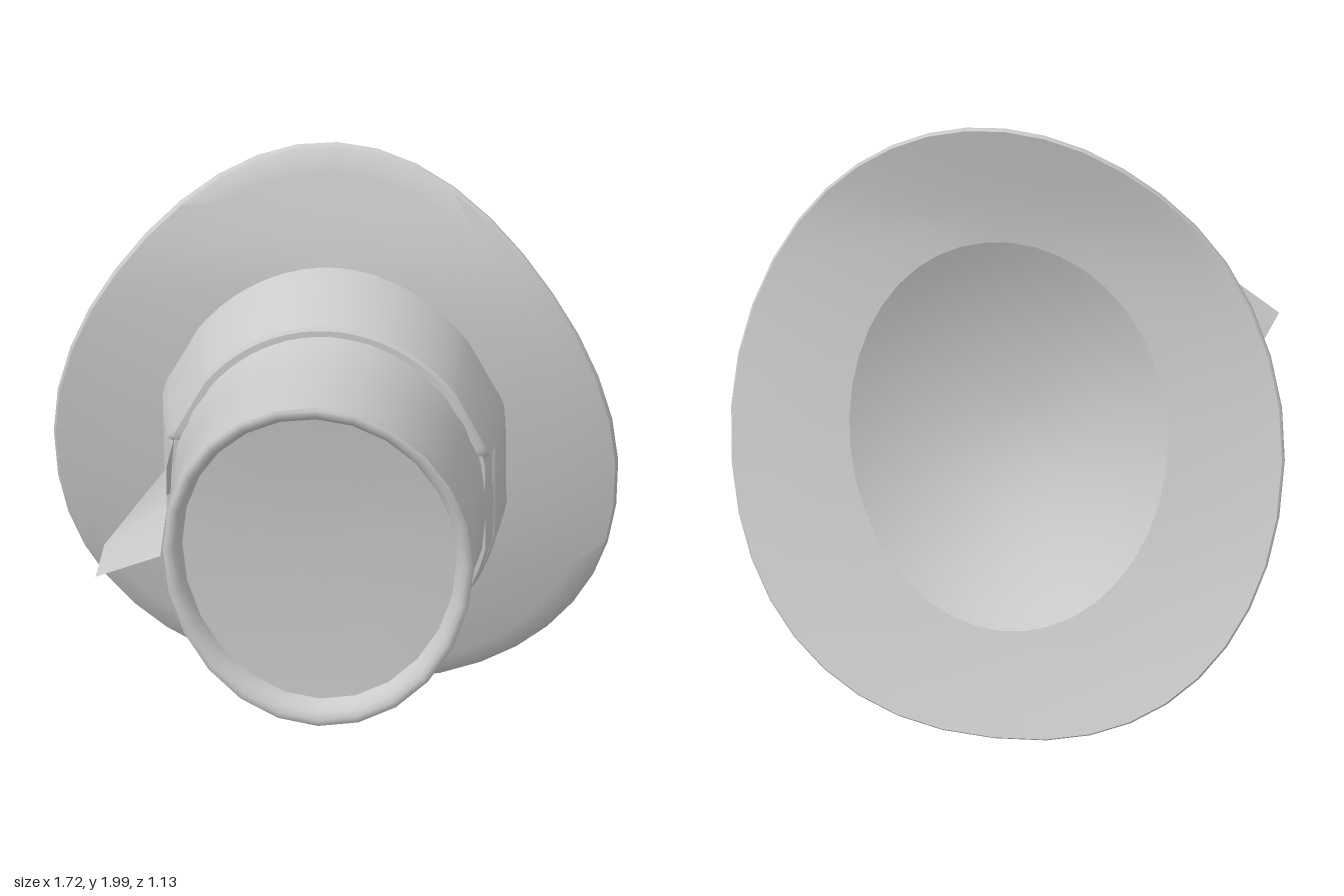
import * as THREE from 'three';
import { toCreasedNormals } from 'three/addons/utils/BufferGeometryUtils.js';

const material = new THREE.MeshStandardMaterial({ color: 0xcccccc, side: THREE.DoubleSide });
const { lerp, degToRad } = THREE.MathUtils;
const TAU = Math.PI * 2;
const CY = 0.95; // height of the hat's axis

// Linear lookup in a list of [key, value] pairs, keys ascending
function curve(points) {
  return (k) => {
    if (k <= points[0][0]) return points[0][1];
    for (let i = 1; i < points.length; i++) {
      const [k0, v0] = points[i - 1], [k1, v1] = points[i];
      if (k <= k1) return lerp(v0, v1, (k - k0) / (k1 - k0));
    }
    return points[points.length - 1][1];
  };
}

// Surface from a rule point(u, v, row), u and v in 0..1
function surface(name, nu, nv, point, crease = 0.7) {
  const positions = [], index = [];
  for (let j = 0; j <= nv; j++)
    for (let i = 0; i <= nu; i++) positions.push(...point(i / nu, j / nv, j));
  for (let j = 0; j < nv; j++)
    for (let i = 0; i < nu; i++) {
      const a = j * (nu + 1) + i, b = a + 1, c = a + nu + 1, d = c + 1;
      index.push(a, b, d, a, d, c);
    }
  const geometry = new THREE.BufferGeometry();
  geometry.setAttribute('position', new THREE.Float32BufferAttribute(positions, 3));
  geometry.setIndex(index);
  const mesh = new THREE.Mesh(toCreasedNormals(geometry, crease), material);
  mesh.name = name;
  return mesh;
}

// Brim curvature, and the slanted front edge of the crown, by height
const brimCurve = curve([[0, -0.55], [0.15, -0.5], [0.3, -0.455], [0.45, -0.418], [0.6, -0.385],
  [0.8, -0.353], [1, -0.33], [1.15, -0.317], [1.3, -0.31], [1.45, -0.309], [1.6, -0.315],
  [1.7, -0.333], [1.8, -0.355], [2, -0.405]]);
const brimZ = (x, y) => brimCurve(y) - 0.1 * x * x * (1.3 - y);
const rimZ = curve([[0.35, 0.27], [0.6, 0.265], [0.85, 0.273], [1.1, 0.29], [1.3, 0.317], [1.53, 0.355]]);

// Crown outline by depth
const crownTop = curve([[-0.31, 1.585], [-0.18, 1.555], [-0.06, 1.53], [0.06, 1.522], [0.2, 1.525], [0.35, 1.53]]);
const crownBottom = curve([[-0.45, 0.325], [-0.28, 0.327], [-0.14, 0.342], [0, 0.36], [0.12, 0.355], [0.27, 0.345]]);
const crownHalfWidth = curve([[-0.33, 0.515], [-0.2, 0.503], [-0.1, 0.486], [0, 0.468], [0.1, 0.468], [0.28, 0.473]]);
const crownShift = curve([[-0.3, 0], [0, 0.014]]);
const nominalY = (t) => CY + 0.62 * Math.sin(t);

function crownPoint(t, z, offset = 0, scale = 1) {
  const s = Math.sin(t);
  const ry = s > 0 ? crownTop(z) - CY : CY - crownBottom(z);
  return [crownShift(z) + (crownHalfWidth(z) * scale + offset) * Math.cos(t), CY + (ry * scale + offset) * s, z];
}

// Outline of the brim: tapered above the axis, squarer below it
function brimEdge(t) {
  const s = Math.sin(t), c = Math.cos(t);
  if (s > 0) return [0.86 * c * (1 - 0.09 * Math.pow(s, 1.5)), CY + 1.05 * s];
  const square = (k) => Math.sign(k) * Math.pow(Math.abs(k), 0.9);
  return [0.86 * square(c), CY + 0.943 * square(s)];
}

function makeBrim() {
  // [fraction from opening to edge, distance behind the front face]
  const rows = [[0, 0], [0.2, 0], [0.4, 0], [0.6, 0], [0.8, 0], [0.98, 0], [1, 0.008], [1, 0.016],
    [0.985, 0.022], [0.8, 0.022], [0.6, 0.022], [0.4, 0.022], [0.2, 0.022], [0, 0.022]];
  return surface('brim', 40, rows.length - 1, (u, v, j) => {
    const t = u * TAU, [f, back] = rows[j], [ex, ey] = brimEdge(t);
    const x = lerp(0.495 * Math.cos(t), ex, f);
    const y = lerp(CY + 0.625 * Math.sin(t), ey, f);
    return [x, y, brimZ(x, y) - back];
  });
}

function makeCrown() {
  return surface('crown', 24, 9, (u, v) => {
    const t = u * TAU, y = nominalY(t);
    return crownPoint(t, lerp(brimZ(0.5 * Math.cos(t), y) - 0.01, rimZ(y), v));
  });
}

// Rolled rim and sunken top: [scale, depth]
function makeTop() {
  const rows = [[1, 0], [0.985, 0.006], [0.96, 0.008], [0.93, 0], [0.9, -0.018], [0.885, -0.045],
    [0.6, -0.045], [0.3, -0.045], [0, -0.045]];
  return surface('crownTop', 24, rows.length - 1, (u, v, j) => {
    const t = u * TAU, [scale, dz] = rows[j];
    const p = crownPoint(t, rimZ(nominalY(t)), 0, scale);
    p[2] = rimZ(p[1]) + dz;
    return p;
  }, 0.8);
}

// Shallow dome inside the hat
function makeLining() {
  return surface('lining', 40, 10, (u, v) => {
    const t = u * TAU, s = 1 - v;
    const x = 0.495 * Math.cos(t), y = CY + 0.625 * Math.sin(t);
    return [x * s, lerp(CY, y, s), lerp(brimZ(x, y) - 0.022, -0.2, 1 - s * s)];
  }, 1.2);
}

// Raised band around part of the crown; frontZ gives its front edge by height
function makeBand(name, from, to, offset, frontZ, corner) {
  const rows = [[0, 0], [0, 0.7], [0.03, 1], [0.25, 1], [0.5, 1], [0.75, 1], [1, 1], [1, 0]];
  const n = 30;
  const nearEnd = [0, 0.001, 0.006, 0.018, 0.035]; // closer steps toward each end
  const inset = [1, 1, 0.5, 0.12];                 // corner rounding at those steps
  return surface(name, n, rows.length - 1, (u, v, j) => {
    const i = Math.round(u * n), edge = Math.min(i, n - i), [f, lift] = rows[j];
    const w = nearEnd[edge] ?? edge / n;
    const t = degToRad(lerp(from, to, i === edge ? w : 1 - w)), y = nominalY(t);
    const cut = corner * (inset[edge] ?? 0);
    const back = brimZ(0.5 * Math.cos(t), y) - 0.008 + cut;
    return crownPoint(t, lerp(frontZ(y) - cut, back, f), edge === 0 ? -0.004 : offset * lift);
  }, 0.6);
}

// Twisting loose ribbon on the right side
function makeRibbon() {
  const lower = [[-0.475, 0.92, -0.09], [-0.585, 0.96, 0.12], [-0.632, 0.985, 0.33], [-0.638, 0.99, 0.525]];
  const upper = [[-0.46, 1.14, -0.09], [-0.465, 1.14, 0.12], [-0.442, 1.12, 0.33], [-0.437, 1.1, 0.563]];
  return surface('ribbon', 3, 1, (u, v, j) => (j ? upper : lower)[Math.round(u * 3)]);
}

export function createModel() {
  const hat = new THREE.Group();
  hat.name = 'hat';
  hat.add(
    makeBrim(), makeCrown(), makeTop(), makeLining(),
    makeBand('upperBand', 16, 164, 0.03, () => -0.055, 0.03),
    makeBand('lowerBand', 158, 382, 0.016, curve([[0.33, -0.14], [0.7, -0.085], [1.18, -0.062]]), 0),
    makeBand('lowerBandOverlay', 158, 382, 0.024, curve([[0.33, -0.215], [0.7, -0.17], [1.18, -0.14]]), 0),
    makeRibbon(),
  );
  return hat;
}
